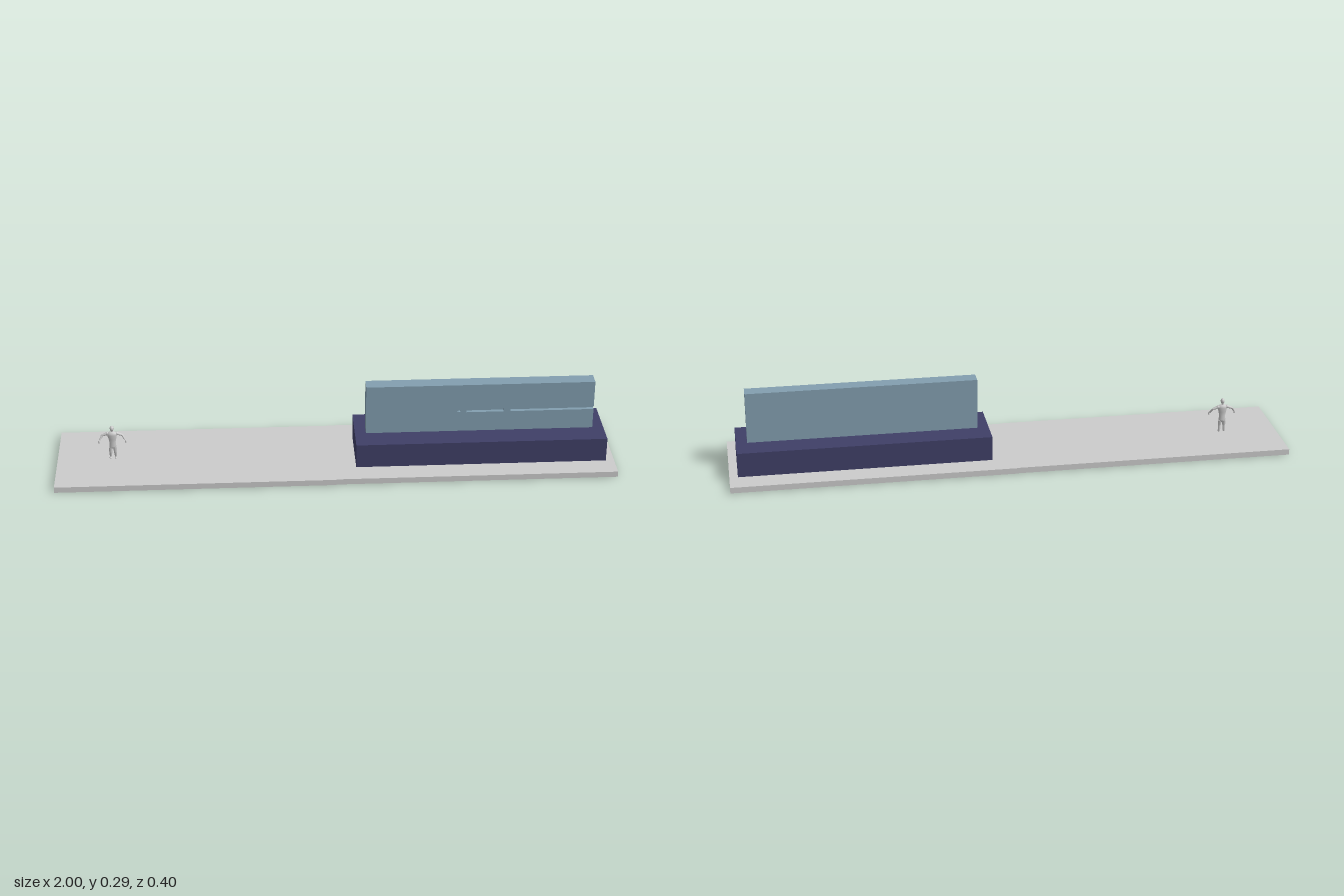
import * as THREE from 'three';

const grey = new THREE.MeshStandardMaterial({ color: 0xcccccc });
const navy = new THREE.MeshStandardMaterial({ color: 0x3f3f67 });
const slate = new THREE.MeshStandardMaterial({ color: 0x829eaf });

function add(parent, name, geometry, material) {
  const mesh = new THREE.Mesh(geometry, material);
  mesh.name = name;
  parent.add(mesh);
  return mesh;
}

// Box given by its low and high corners
function box(parent, name, [x0, y0, z0], [x1, y1, z1], material) {
  const mesh = add(parent, name, new THREE.BoxGeometry(x1 - x0, y1 - y0, z1 - z0), material);
  mesh.position.set((x0 + x1) / 2, (y0 + y1) / 2, (z0 + z1) / 2);
  return mesh;
}

const points = (list) => list.map(([x, y]) => new THREE.Vector2(x, y));

// Tapered limb segment between two points
function limb(parent, name, from, to, r0, r1) {
  const a = new THREE.Vector3(...from), b = new THREE.Vector3(...to);
  const dir = b.clone().sub(a);
  const mesh = add(parent, name, new THREE.CylinderGeometry(r1, r0, dir.length(), 10), grey);
  mesh.position.copy(a).add(b).multiplyScalar(0.5);
  mesh.quaternion.setFromUnitVectors(new THREE.Vector3(0, 1, 0), dir.normalize());
  return mesh;
}

function ball(parent, name, pos, sx, sy, sz) {
  const mesh = add(parent, name, new THREE.SphereGeometry(1, 12, 8), grey);
  mesh.position.set(...pos);
  mesh.scale.set(sx, sy, sz);
  return mesh;
}

function createFloor() {
  const floor = new THREE.Group();
  floor.name = 'floor';
  [[-1, -0.605], [-0.605, -0.2], [-0.2, -0.005]].forEach(([x0, x1], i) =>
    box(floor, `floorTile${i + 1}`, [x0, 0, -0.198], [x1, 0.021, 0.198], grey));

  // Last tile is cut out where the plinth passes through it
  const tile = new THREE.Shape(points([[-0.005, -0.195], [1, -0.195], [1, 0.2], [-0.005, 0.2]]));
  tile.holes.push(new THREE.Path(points([[0.07, -0.113], [0.07, 0.117], [0.97, 0.117], [0.97, -0.113]])));
  const mesh = add(floor, 'plinthTile', new THREE.ExtrudeGeometry(tile, { depth: 0.021, bevelEnabled: false }), grey);
  mesh.rotation.x = -Math.PI / 2;
  return floor;
}

function createWall() {
  const wall = new THREE.Group();
  wall.name = 'wall';
  box(wall, 'wallBack', [0.11, 0.11, -0.027], [0.93, 0.295, 0.011], slate);

  // Front layer with a slot running out at the end, a shorter slot and a small tip
  const face = new THREE.Shape(points([
    [0.11, 0.11], [0.93, 0.11], [0.93, 0.185], [0.63, 0.185],
    [0.63, 0.196], [0.93, 0.196], [0.93, 0.295], [0.11, 0.295],
  ]));
  face.holes.push(
    new THREE.Path(points([[0.47, 0.185], [0.47, 0.196], [0.605, 0.196], [0.605, 0.185]])),
    new THREE.Path(points([[0.435, 0.19], [0.45, 0.194], [0.45, 0.186]])),
  );
  const front = add(wall, 'wallFront', new THREE.ExtrudeGeometry(face, { depth: 0.014, bevelEnabled: false }), slate);
  front.position.z = 0.011;
  return wall;
}

function createFigure() {
  const figure = new THREE.Group();
  figure.name = 'figure';

  // Flattened lathe torso, from hips to shoulders
  const torso = add(figure, 'torso', new THREE.LatheGeometry(points([
    [0, 0.058], [0.011, 0.062], [0.013, 0.07], [0.011, 0.084], [0.014, 0.1],
    [0.018, 0.116], [0.016, 0.124], [0.007, 0.129], [0, 0.13],
  ]), 14), grey);
  torso.scale.z = 0.6;

  limb(figure, 'neck', [0, 0.124, -0.001], [0, 0.135, 0], 0.005, 0.0045);
  ball(figure, 'head', [0, 0.142, 0.001], 0.0075, 0.01, 0.009);

  for (const s of [-1, 1]) {
    const shoulder = [s * 0.017, 0.12, -0.002], elbow = [s * 0.036, 0.113, -0.002], wrist = [s * 0.046, 0.097, 0.006];
    ball(figure, 'shoulder', shoulder, 0.0065, 0.0065, 0.0065);
    limb(figure, 'upperArm', shoulder, elbow, 0.0055, 0.004);
    ball(figure, 'elbow', elbow, 0.004, 0.004, 0.004);
    limb(figure, 'forearm', elbow, wrist, 0.004, 0.0027);
    ball(figure, 'hand', [s * 0.048, 0.093, 0.009], 0.0032, 0.006, 0.0035);

    const hip = [s * 0.0075, 0.066, 0], knee = [s * 0.0085, 0.046, 0.001], ankle = [s * 0.009, 0.025, -0.002];
    limb(figure, 'thigh', hip, knee, 0.0075, 0.0055);
    ball(figure, 'knee', knee, 0.0055, 0.0055, 0.0055);
    limb(figure, 'shin', knee, ankle, 0.0055, 0.0038);
    ball(figure, 'foot', [s * 0.0095, 0.024, 0.003], 0.0045, 0.0035, 0.009);
  }
  figure.position.set(-0.8, 0, -0.003);
  return figure;
}

export function createModel() {
  const model = new THREE.Group();
  model.name = 'displayStand';
  model.add(createFloor());
  box(model, 'plinth', [0.07, 0, -0.117], [0.97, 0.11, 0.113], navy);
  model.add(createWall(), createFigure());
  return model;
}
